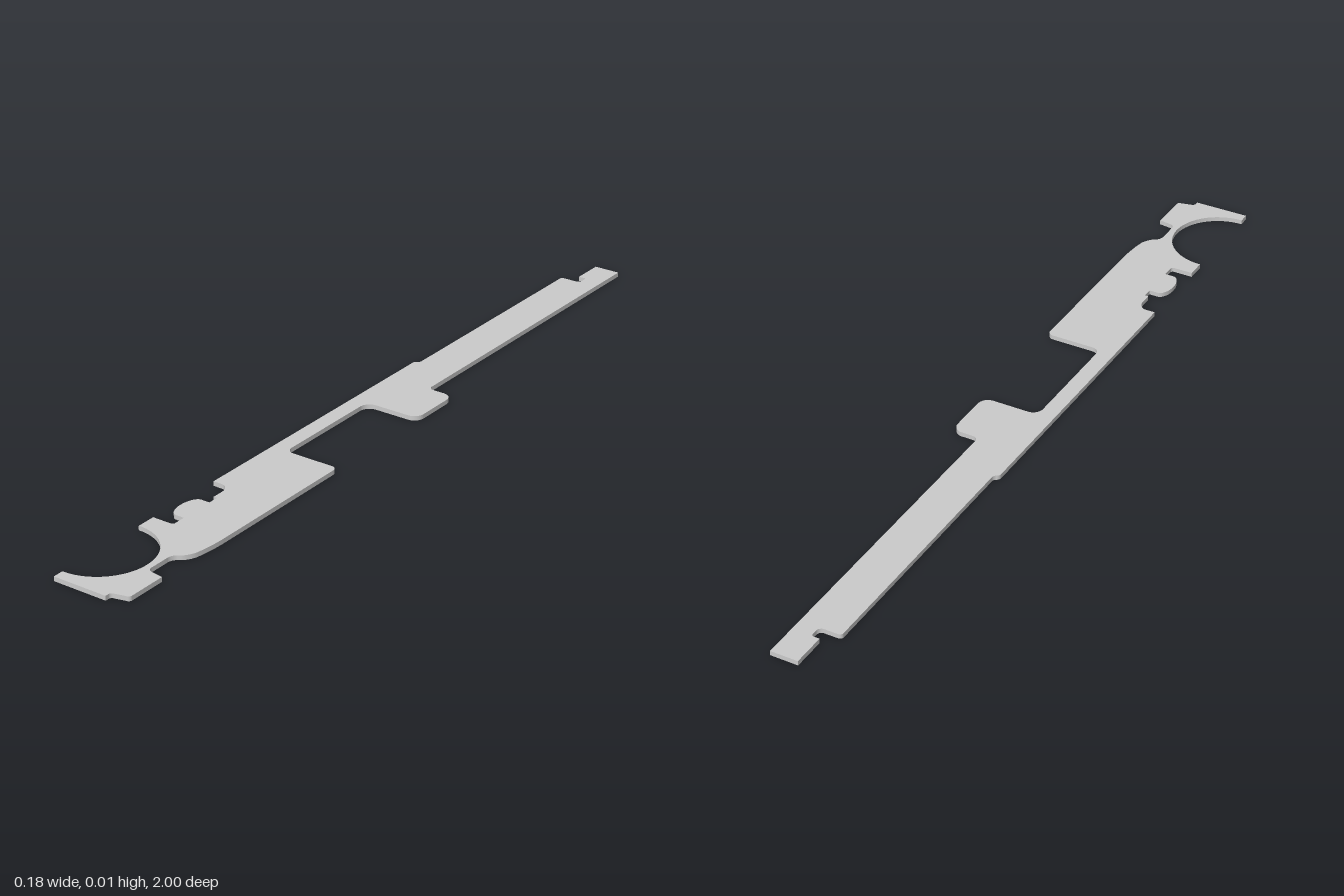
import * as THREE from 'three';

const THICKNESS = 0.011;

// Adds corners [x, z, radius] to a path, rounding each corner that has a radius
function addCorners(shape, before, corners, after) {
  const all = [before, ...corners, after].map(([x, z, r = 0]) => ({ p: new THREE.Vector2(x, -z), r }));
  for (let i = 1; i < all.length - 1; i++) {
    const { p, r } = all[i];
    if (!r) { shape.lineTo(p.x, p.y); continue; }
    const toward = (q) => q.clone().sub(p).setLength(Math.min(r, q.distanceTo(p) / 2)).add(p);
    const a = toward(all[i - 1].p), b = toward(all[i + 1].p);
    // control points at 0.55 of the way approximate a circular fillet
    const c1 = a.clone().lerp(p, 0.55), c2 = b.clone().lerp(p, 0.55);
    shape.lineTo(a.x, a.y);
    shape.bezierCurveTo(c1.x, c1.y, c2.x, c2.y, b.x, b.y);
  }
}

export function createModel() {
  const group = new THREE.Group();
  group.name = 'flatPlate';

  const start = [0.022, -1];
  const shape = new THREE.Shape();
  shape.moveTo(start[0], -start[1]);

  // Right edge: back end notch, small step, shallow hollow above the bump
  addCorners(shape, start, [
    [-0.044, -1], [-0.044, -0.92], [-0.024, -0.92, 0.006], [-0.024, -0.89, 0.012],
    [-0.077, -0.89, 0.008], [-0.077, -0.268, 0.006], [-0.089, -0.262, 0.006],
    [-0.089, 0.489], [-0.044, 0.489, 0.034], [-0.044, 0.545], [-0.035, 0.545], [-0.035, 0.57],
  ], [-0.035, 0.57]);

  // Rounded bump
  addCorners(shape, [-0.035, 0.57], [[-0.078, 0.57, 0.042], [-0.078, 0.655, 0.042]], [-0.035, 0.655]);

  // Lug above the big round opening
  addCorners(shape, [-0.078, 0.655], [
    [-0.035, 0.655], [-0.035, 0.69, 0.006], [-0.089, 0.69], [-0.089, 0.737],
  ], [-0.089, 0.737]);

  // Big half-round opening that leaves the hook
  shape.absarc(-0.087, -0.855, 0.119, Math.PI / 2, -Math.PI / 2, true);

  // Hook tip, front foot, neck, wide panel, long recess and side tab
  addCorners(shape, [-0.087, 0.974], [
    [-0.089, 0.974], [-0.089, 1], [0.047, 1], [0.047, 0.985, 0.006],
    [0.089, 0.975, 0.006], [0.089, 0.876], [0.047, 0.87, 0.012],
    [0.047, 0.795, 0.012], [0.078, 0.775, 0.022], [0.089, 0.715, 0.035],
    [0.089, 0.284, 0.015], [-0.05, 0.284, 0.02],
    [-0.05, -0.018, 0.025], [0.089, -0.018, 0.025], [0.089, -0.16, 0.025],
    [0.022, -0.16, 0.014],
  ], start);
  shape.closePath();

  const geometry = new THREE.ExtrudeGeometry(shape, {
    depth: THICKNESS, bevelEnabled: false, curveSegments: 20,
  });
  geometry.rotateX(-Math.PI / 2);

  const plate = new THREE.Mesh(geometry, new THREE.MeshStandardMaterial({ color: 0xcccccc }));
  plate.name = 'plate';
  group.add(plate);
  return group;
}
